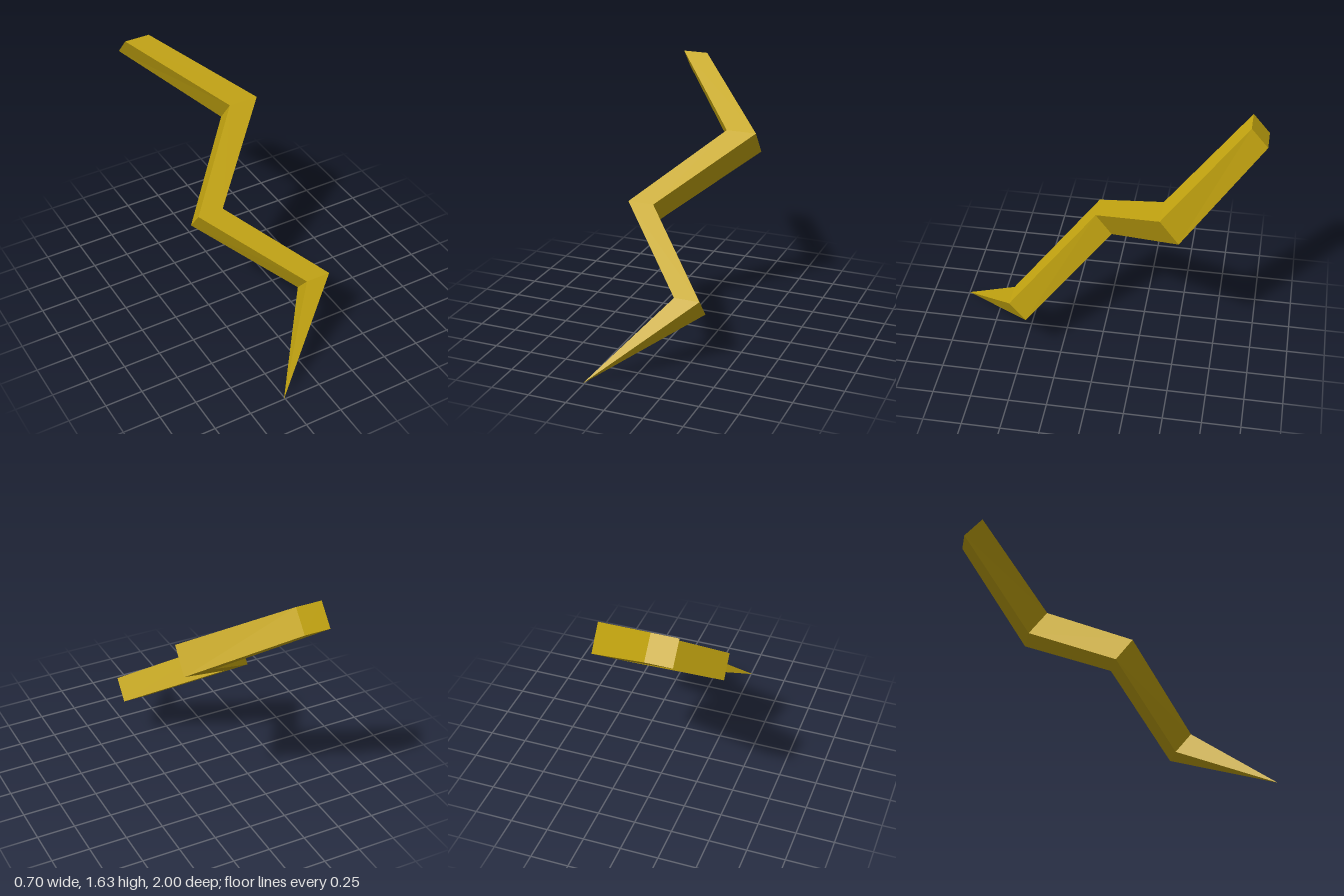
import * as THREE from 'three';

// Cross-sections down the bolt: left x, right x, upper edge (y, z), lower edge (y, z)
const sections = [
  [-0.35, -0.18, 1.63, -0.89, 1.5, -1.0],
  [0.147, 0.35, 1.255, -0.4, 1.095, -0.52],
  [-0.352, -0.177, 0.855, 0.08, 0.712, -0.027],
  [0.165, 0.333, 0.46, 0.565, 0.33, 0.46],
];
const tip = [-0.26, 0, 1];

function boltGeometry() {
  const points = [];
  const index = [];
  for (const [x0, x1, yu, zu, yl, zl] of sections) {
    points.push(x0, yu, zu, x1, yu, zu, x1, yl, zl, x0, yl, zl);
  }
  points.push(...tip);

  // Flat cap at the top end
  index.push(0, 1, 2, 0, 2, 3);

  const last = sections.length - 1;
  for (let k = 0; k < 4; k++) {
    const n = (k + 1) % 4;
    // Sides of each zigzag arm
    for (let i = 0; i < last; i++) {
      const a = i * 4 + k, b = a + 4, d = i * 4 + n, c = d + 4;
      index.push(a, b, c, a, c, d);
    }
    // Tapered point
    index.push(last * 4 + k, last * 4 + 4, last * 4 + n);
  }

  const indexed = new THREE.BufferGeometry();
  indexed.setAttribute('position', new THREE.Float32BufferAttribute(points, 3));
  indexed.setIndex(index);
  const geometry = indexed.toNonIndexed();
  geometry.computeVertexNormals();
  return geometry;
}

export function createModel() {
  const group = new THREE.Group();
  group.name = 'lightningBolt';
  const gold = new THREE.MeshStandardMaterial({ color: 0xc4a510 });
  gold.name = 'gold';
  const bolt = new THREE.Mesh(boltGeometry(), gold);
  bolt.name = 'zigzagBolt';
  group.add(bolt);
  return group;
}
